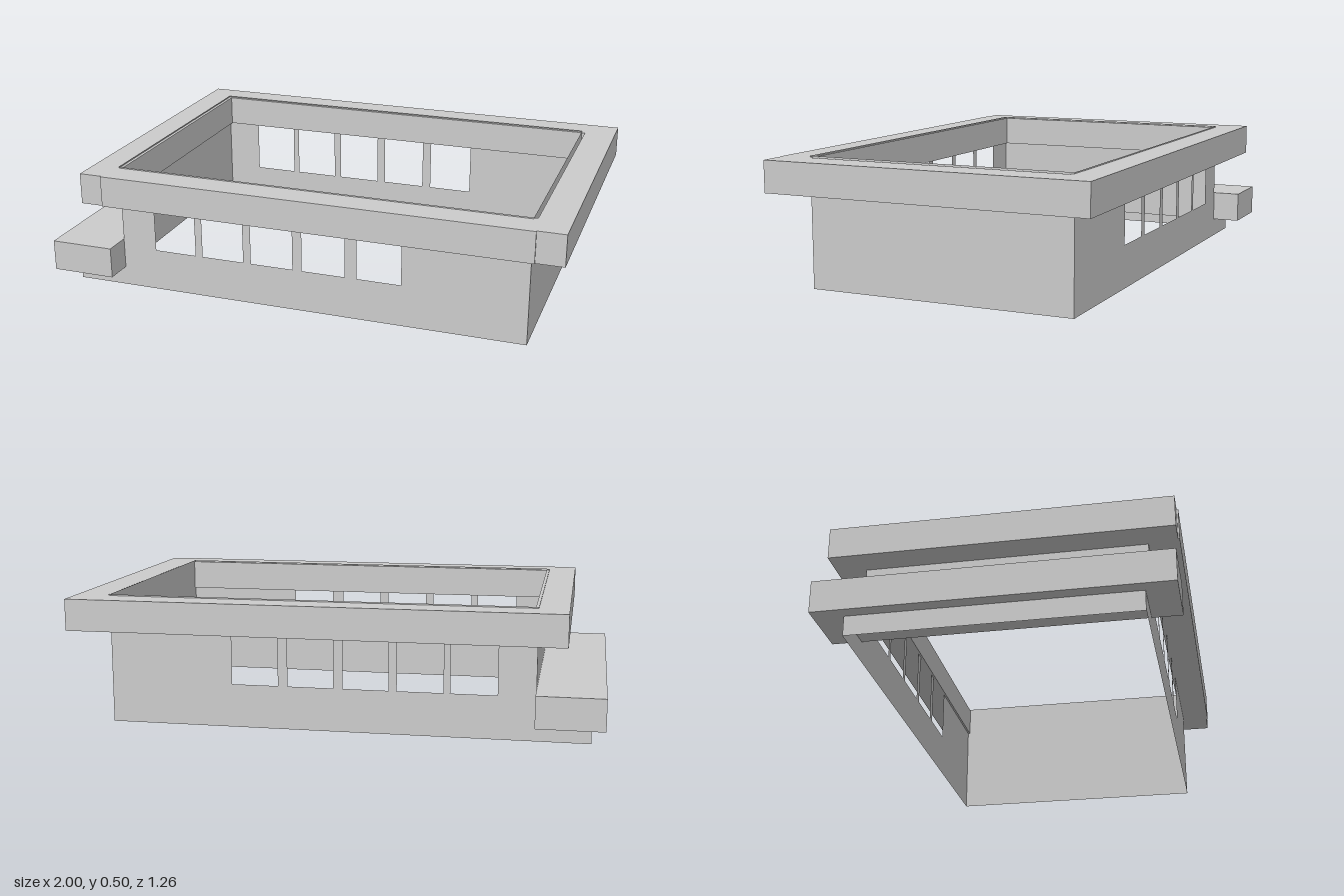
import * as THREE from 'three';

const material = new THREE.MeshStandardMaterial({
  color: 0xcccccc, flatShading: true, side: THREE.DoubleSide,
});

function addPart(group, name, geometry, x = 0, y = 0, z = 0) {
  const mesh = new THREE.Mesh(geometry, material);
  mesh.name = name;
  mesh.position.set(x, y, z);
  group.add(mesh);
  return mesh;
}

const outline = (points) => points.map(([x, y]) => new THREE.Vector2(x, y));
const rect = (x0, x1, y0, y1) => outline([[x0, y0], [x1, y0], [x1, y1], [x0, y1]]);

const EAST = 0.865, WEST = -0.75, PORCH = -0.95, HALF_DEPTH = 0.52;
const WALL_TOP = 0.495, ROOF_LOW = 0.37, ROOF_HIGH = 0.49;

// Long sheet wall with a low extension under the ledge and a row of windows
function longWall(windows) {
  const shape = new THREE.Shape(outline([
    [PORCH, 0], [EAST, 0], [EAST, WALL_TOP], [WEST, WALL_TOP], [WEST, 0.08], [PORCH, 0.08],
  ]));
  for (const [x0, x1] of windows) shape.holes.push(new THREE.Path(rect(x0, x1, 0.165, ROOF_LOW + 0.003)));
  return new THREE.ShapeGeometry(shape);
}

// Sheet wall across the depth of the building
function endWall(y0, y1) {
  const geometry = new THREE.PlaneGeometry(2 * HALF_DEPTH, y1 - y0);
  geometry.rotateY(Math.PI / 2);
  geometry.translate(0, (y0 + y1) / 2, 0);
  return geometry;
}

export function createModel() {
  const building = new THREE.Group();
  building.name = 'building';

  // Walls, open at top and bottom
  addPart(building, 'frontWall', longWall([
    [-0.61, -0.44], [-0.41, -0.24], [-0.208, -0.038], [0, 0.17], [0.217, 0.39],
  ]), 0, 0, HALF_DEPTH);
  addPart(building, 'backWall', longWall([
    [-0.61, -0.437], [-0.412, -0.239], [-0.208, -0.035], [0, 0.175], [0.212, 0.39],
  ]), 0, 0, -HALF_DEPTH);
  addPart(building, 'leftWall', endWall(0, WALL_TOP), EAST);
  addPart(building, 'rightWall', endWall(0.075, WALL_TOP), WEST);
  addPart(building, 'lowRightWall', endWall(0, 0.08), PORCH);

  // Overhanging roof rim, its front band standing slightly proud of the corners
  const rim = new THREE.Shape(outline([
    [-0.86, -0.626], [-0.77, -0.626], [-0.77, -0.632], [0.895, -0.632], [0.895, -0.626],
    [1, -0.626], [1, 0.632], [-0.86, 0.632],
  ]));
  rim.holes.push(new THREE.Path(rect(-0.738, 0.878, -0.508, 0.512)));
  const rimGeometry = new THREE.ExtrudeGeometry(rim, { depth: ROOF_HIGH - ROOF_LOW, bevelEnabled: false });
  rimGeometry.rotateX(-Math.PI / 2);
  addPart(building, 'roofRim', rimGeometry, 0, ROOF_LOW, 0);

  // Low ledge along the right end
  addPart(building, 'ledge', new THREE.BoxGeometry(0.25, 0.12, 1.26), -0.875, 0.135, 0);

  return building;
}
